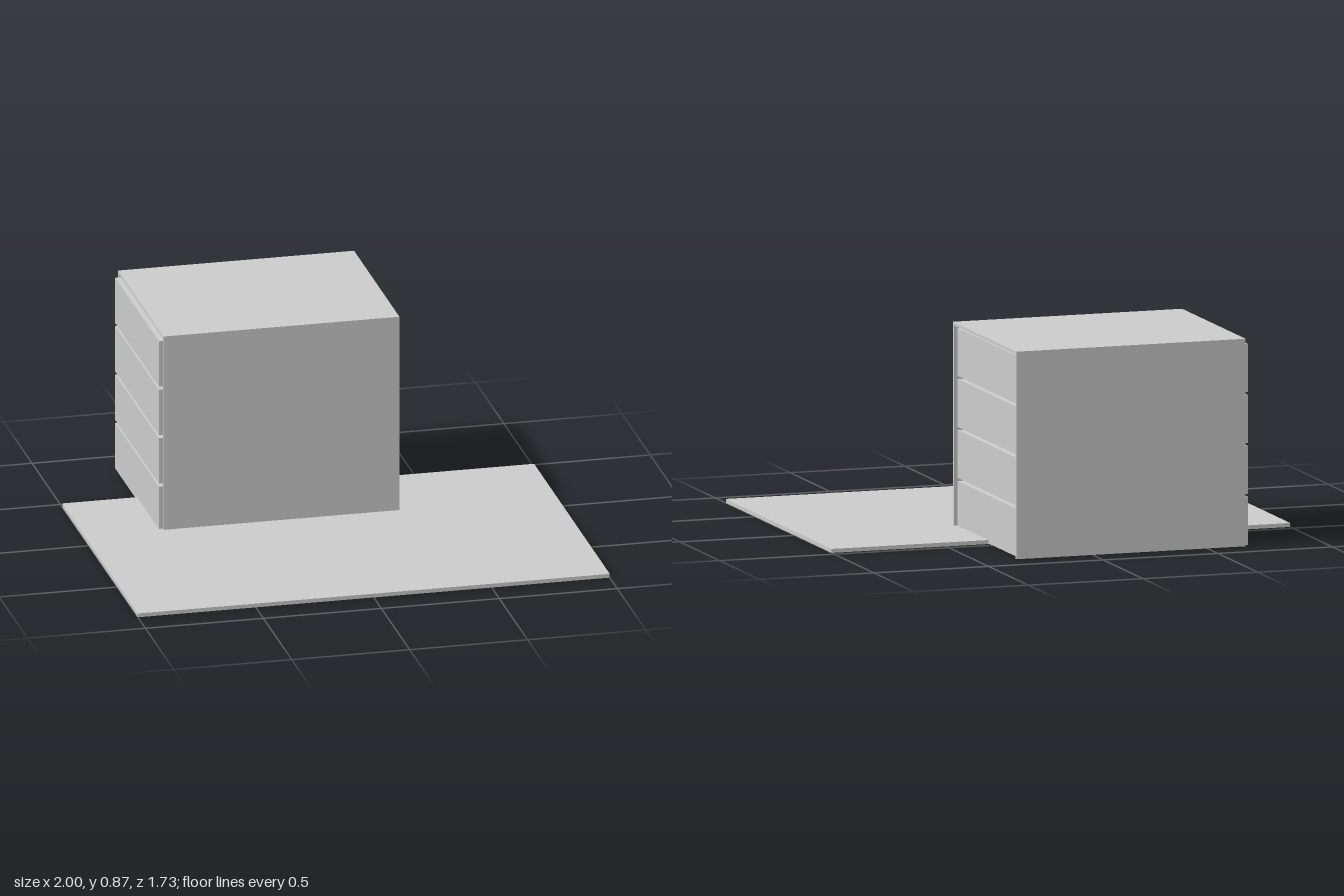
import * as THREE from 'three';

export function createModel() {
  const group = new THREE.Group();
  const grey = new THREE.MeshStandardMaterial({ color: 0xcccccc });
  grey.name = 'plain grey';

  // Box given by its lower and upper limits on each axis
  function slab(name, [x0, x1], [y0, y1], [z0, z1], parent = group) {
    const mesh = new THREE.Mesh(new THREE.BoxGeometry(x1 - x0, y1 - y0, z1 - z0), grey);
    mesh.position.set((x0 + x1) / 2, (y0 + y1) / 2, (z0 + z1) / 2);
    mesh.name = name;
    parent.add(mesh);
  }

  // Base sheet lying on the ground
  slab('basePlate', [-1, 1], [0, 0.0167], [-0.467, 0.867]);

  // Case: two broad walls and a top, open at both ends
  const wall = 0.0125;
  const caseX = [-0.667, 0.333], back = -0.867, front = -0.067, top = 0.867;
  slab('caseFront', caseX, [0, top - wall], [front - wall, front]);
  slab('caseBack', caseX, [0, top - wall], [back, back + wall]);
  slab('caseTop', caseX, [top - wall, top], [back, front]);

  // Drawers, set back at one end and standing proud at the other
  const x0 = -0.683, x1 = 0.317, z = [-0.852, -0.082], t = 0.0167;
  const levels = [[0.003, 0.203], [0.216, 0.416], [0.429, 0.629], [0.642, 0.842]];
  levels.forEach(([y0, y1], i) => {
    if (i > 0) {
      slab('drawer', [x0, x1], [y0, y1], z);
      return;
    }
    // The lowest drawer is hollow and open underneath
    const hollow = new THREE.Group();
    hollow.name = 'lowestDrawer';
    group.add(hollow);
    slab('drawerTop', [x0, x1], [y1 - 0.01, y1], z, hollow);
    slab('drawerEnd', [x0, x0 + t], [y0, y1 - 0.01], z, hollow);
    slab('drawerEnd', [x1 - t, x1], [y0, y1 - 0.01], z, hollow);
  });

  // Supports at the third points, midway through the depth
  for (const x of [-0.333, 0]) {
    slab('supportPost', [x - 0.008, x + 0.008], [0, 0.193], [-0.482, -0.452]);
  }

  return group;
}
